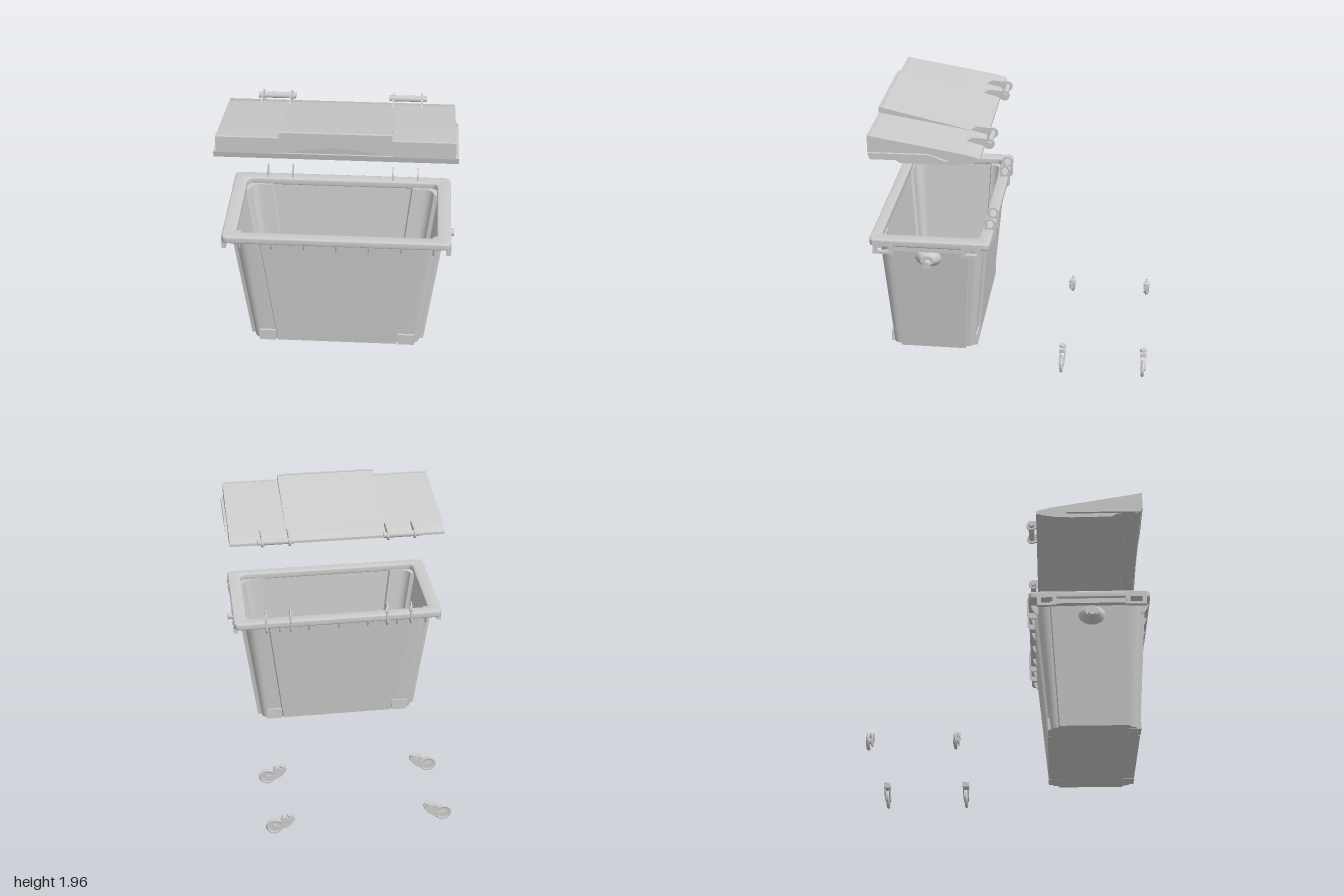
import * as THREE from 'three';
import { toCreasedNormals } from 'three/addons/utils/BufferGeometryUtils.js';

const material = new THREE.MeshStandardMaterial({ color: 0xcccccc, side: THREE.DoubleSide });

function add(parent, name, geometry, crease = 0.6) {
  const mesh = new THREE.Mesh(toCreasedNormals(geometry, crease), material);
  mesh.name = name;
  parent.add(mesh);
  return mesh;
}
const toShape = (pts) => new THREE.Shape(pts.map(([a, b]) => new THREE.Vector2(a, b)));

// Extrudes a (z, y) profile along x, centred on xc
function alongX(profile, width, xc) {
  const shape = Array.isArray(profile) ? toShape(profile) : profile;
  const g = new THREE.ExtrudeGeometry(shape, { depth: width, bevelEnabled: false, curveSegments: 16 });
  return g.rotateY(-Math.PI / 2).translate(xc + width / 2, 0, 0);
}
function box(x0, x1, y0, y1, z0, z1) {
  return new THREE.BoxGeometry(Math.abs(x1 - x0), y1 - y0, z1 - z0)
    .translate((x0 + x1) / 2, (y0 + y1) / 2, (z0 + z1) / 2);
}
function roundRect(path, hx, a, b, r) {
  path.moveTo(-hx + r, a);
  path.lineTo(hx - r, a); path.quadraticCurveTo(hx, a, hx, a + r);
  path.lineTo(hx, b - r); path.quadraticCurveTo(hx, b, hx - r, b);
  path.lineTo(-hx + r, b); path.quadraticCurveTo(-hx, b, -hx, b - r);
  path.lineTo(-hx, a + r); path.quadraticCurveTo(-hx, a, -hx + r, a);
  return path;
}
// Horizontal rectangular frame with rounded corners
function frame(hx, z0, z1, r, ix, iz0, iz1, ir, y, height, bevel) {
  const shape = roundRect(new THREE.Shape(), hx - bevel, -z1 + bevel, -z0 - bevel, r);
  shape.holes.push(roundRect(new THREE.Path(), ix + bevel, -iz1 - bevel, -iz0 + bevel, ir));
  return new THREE.ExtrudeGeometry(shape, {
    depth: height - 2 * bevel, bevelEnabled: bevel > 0, bevelSize: bevel, bevelThickness: bevel, bevelSegments: 3,
  }).rotateX(-Math.PI / 2).translate(0, y + bevel, 0);
}

// Tub outline at height y: flat panels with stepped-in rounded corners
function tubRing(y, inset) {
  const t = (y - 0.165) / 0.905, mix = (a, b) => a + (b - a) * t;
  const hx = mix(0.63, 0.745) - inset, hz = mix(0.323, 0.397) - inset, cz = mix(0.58, 0.567);
  const ax = mix(0.43, 0.53) - inset * 0.5, az = mix(0.24, 0.28) - inset * 0.5;
  const r = mix(0.05, 0.085) - inset * 0.4, sx = 0.03, sz = 0.02;
  const quad = [[ax, hz], [ax + 0.008, hz - sz]];
  for (let i = 0; i <= 6; i++) {
    const a = (i / 6) * Math.PI / 2;
    quad.push([hx - sx - r + r * Math.sin(a), hz - sz - r + r * Math.cos(a)]);
  }
  quad.push([hx - sx, az + 0.008], [hx, az]);
  const back = [...quad].reverse();
  const ring = [
    ...quad, ...back.map(([x, z]) => [x, -z]),
    ...quad.map(([x, z]) => [-x, -z]), ...back.map(([x, z]) => [-x, z]),
  ];
  return ring.map(([x, z]) => [x, y, z + cz]);
}
function loft(rings) {
  const n = rings[0].length, index = [];
  for (let i = 0; i < rings.length - 1; i++) {
    for (let j = 0; j < n; j++) {
      const a = i * n + j, b = i * n + (j + 1) % n;
      index.push(a, b, b + n, a, b + n, a + n);
    }
  }
  const g = new THREE.BufferGeometry();
  g.setAttribute('position', new THREE.Float32BufferAttribute(rings.flat(2), 3));
  g.setIndex(index);
  return g;
}
function cap(ring, up) {
  const g = new THREE.ShapeGeometry(toShape(ring.map(([x, , z]) => up ? [x, -z] : [x, z])));
  return g.rotateX(up ? -Math.PI / 2 : Math.PI / 2).translate(0, ring[0][1], 0);
}

function buildTub() {
  const tub = new THREE.Group();
  tub.name = 'tub';
  const outer = tubRing(0.165, 0), inner = tubRing(0.2, 0.04);
  add(tub, 'tubWalls', loft([outer, tubRing(1.08, 0), tubRing(1.08, 0.04), inner]));
  add(tub, 'tubUnderside', cap(outer, false));
  add(tub, 'tubFloor', cap(inner, true));
  add(tub, 'rim', frame(0.797, 0.13, 0.992, 0.035, 0.7, 0.215, 0.915, 0.06, 1.072, 0.053, 0.01));

  // Gussets under the front and back rim
  for (let i = -3; i <= 3; i++) {
    const x = i * 0.226;
    add(tub, 'frontGusset', alongX([[0.93, 1.075], [0.985, 1.075], [0.975, 1.04], [0.95, 1.0], [0.93, 1.0]], 0.01, x));
    add(tub, 'backGusset', alongX([[0.2, 1.075], [0.2, 1.0], [0.185, 1.0], [0.155, 1.04], [0.145, 1.075]], 0.01, x));
  }
  for (const s of [-1, 1]) {
    add(tub, 'sideSkirt', box(s * 0.72, s * 0.782, 1.035, 1.075, 0.33, 0.82));
    // Lifting pockets at the ends of the side rims
    for (const [z0, z1] of [[0.82, 0.965], [0.19, 0.33]]) {
      const shape = toShape([[z0, 1.015], [z1, 1.015], [z1, 1.115], [z0, 1.115]]);
      shape.holes.push(toShape([[z0 + 0.03, 1.035], [z0 + 0.03, 1.075], [z1 - 0.03, 1.075], [z1 - 0.03, 1.035]]));
      add(tub, 'liftingPocket', alongX(shape, 0.03, s * 0.785));
    }
    // Trunnion: half cone cut flat at the top, with a round pin
    const cone = new THREE.CylinderGeometry(0.05, 0.12, 0.09, 32, 4).rotateZ(-s * Math.PI / 2)
      .scale(1, 0.75, 1).translate(s * 0.745, 0.97, 0.578);
    const p = cone.attributes.position;
    for (let i = 0; i < p.count; i++) p.setY(i, Math.min(p.getY(i), 1.02));
    add(tub, 'trunnionMount', cone);
    add(tub, 'trunnionPin', new THREE.CylinderGeometry(0.027, 0.03, 0.06, 24)
      .rotateZ(-s * Math.PI / 2).translate(s * 0.795, 0.95, 0.578));
    // Castor sockets
    for (const [z0, z1] of [[0.82, 0.905], [0.257, 0.34]]) {
      add(tub, 'castorSocket', box(s * 0.445, s * 0.565, 0.163, 0.25, z0, z1));
    }
    // Hinge lugs
    for (const x of [0.37, 0.555]) {
      const lug = new THREE.Shape();
      lug.moveTo(0.195, 1.03);
      lug.lineTo(0.195, 1.17);
      lug.absarc(0.155, 1.17, 0.04, 0, Math.PI);
      lug.lineTo(0.115, 1.06);
      lug.lineTo(0.14, 1.03);
      lug.holes.push(new THREE.Path().absellipse(0.155, 1.167, 0.024, 0.03, 0, Math.PI * 2));
      add(tub, 'hingeLug', alongX(lug, 0.01, s * x));
    }
  }
  return tub;
}

function buildLid() {
  const lid = new THREE.Group();
  lid.name = 'lid';
  add(lid, 'lidTop', alongX([[0.96, 1.92], [0.29, 1.808], [0.2, 1.785], [0.19, 1.775], [0.19, 1.755],
    [0.23, 1.755], [0.29, 1.783], [0.96, 1.895]], 1.6, 0));
  add(lid, 'raisedCentre', alongX([[0.964, 1.963], [0.29, 1.809], [0.964, 1.9]], 0.75, 0));

  // Front panel with an arched lower edge for the hand grip
  const front = new THREE.Shape();
  front.moveTo(-0.8, 1.8);
  front.lineTo(-0.5, 1.8);
  front.bezierCurveTo(-0.27, 1.805, -0.18, 1.855, 0, 1.855);
  front.bezierCurveTo(0.18, 1.855, 0.27, 1.805, 0.5, 1.8);
  for (const [x, y] of [[0.8, 1.8], [0.8, 1.92], [0.375, 1.92], [0.375, 1.963], [-0.375, 1.963], [-0.375, 1.92], [-0.8, 1.92]]) {
    front.lineTo(x, y);
  }
  add(lid, 'frontPanel', new THREE.ExtrudeGeometry(front, { depth: 0.02, bevelEnabled: false, curveSegments: 20 })
    .translate(0, 0, 0.945));
  add(lid, 'gripRecess', alongX([[0.956, 1.87], [0.942, 1.757], [0.92, 1.757], [0.92, 1.87]], 1.58, 0));
  add(lid, 'frontFlange', alongX([[0.96, 1.8], [0.95, 1.755], [0.925, 1.755], [0.925, 1.8]], 1.64, 0));
  add(lid, 'undersideFrame', frame(0.785, 0.2, 0.94, 0.01, 0.68, 0.29, 0.85, 0.04, 1.757, 0.015, 0));

  for (const s of [-1, 1]) {
    add(lid, 'lidEnd', alongX([[0.96, 1.92], [0.29, 1.808], [0.2, 1.785], [0.19, 1.765], [0.24, 1.745], [0.33, 1.73],
      [0.45, 1.725], [0.74, 1.727], [0.78, 1.752], [0.95, 1.755], [0.95, 1.8], [0.96, 1.8]], 0.02, s * 0.79));
    add(lid, 'sideFlange', alongX([[0.95, 1.755], [0.95, 1.8], [0.55, 1.803], [0.51, 1.795], [0.45, 1.77],
      [0.41, 1.757]], 0.022, s * 0.809));
    // Hinge rod carried by two arms
    add(lid, 'hingeRod', new THREE.CylinderGeometry(0.022, 0.022, 0.265, 20)
      .rotateZ(Math.PI / 2).translate(s * 0.467, 1.797, 0.153));
    for (const x of [0.365, 0.565]) {
      add(lid, 'hingeArm', alongX([[0.15, 1.832], [0.265, 1.84], [0.31, 1.812], [0.24, 1.77], [0.15, 1.768]], 0.012, s * x));
      add(lid, 'hingeEye', new THREE.CylinderGeometry(0.038, 0.038, 0.014, 24)
        .rotateZ(Math.PI / 2).translate(s * x, 1.797, 0.153));
    }
  }
  return lid;
}

// Swivel castor trailing towards s * x
function buildCastor(s, z) {
  const castor = new THREE.Group();
  castor.name = 'castor';
  castor.position.z = z;
  const rim = [[0.042, -0.008], [0.052, -0.012], [0.06, -0.01], [0.065, 0], [0.06, 0.01], [0.052, 0.012], [0.042, 0.008], [0.042, -0.008]];
  const place = (g) => g.rotateX(Math.PI / 2).translate(s * 0.62, 0.07, 0);
  add(castor, 'tyre', place(new THREE.LatheGeometry(rim.map(([r, y]) => new THREE.Vector2(r, y)), 32)));
  add(castor, 'wheelDisc', place(new THREE.CylinderGeometry(0.043, 0.043, 0.01, 32)));
  add(castor, 'hub', place(new THREE.CylinderGeometry(0.018, 0.018, 0.034, 20)));
  const arm = [[0.476, 0.15], [0.476, 0.125], [0.51, 0.08], [0.54, 0.058], [0.62, 0.056], [0.62, 0.082], [0.585, 0.09], [0.565, 0.15]];
  const cheek = toShape(arm.map(([x, y]) => [s * x, y]));
  for (const side of [-1, 1]) {
    add(castor, 'forkCheek', new THREE.ExtrudeGeometry(cheek, { depth: 0.006, bevelEnabled: false })
      .translate(0, 0, side * 0.017 - 0.003));
  }
  add(castor, 'forkCrown', box(s * 0.476, s * 0.56, 0.125, 0.152, -0.023, 0.023));
  add(castor, 'swivelPlate', new THREE.CylinderGeometry(0.024, 0.024, 0.018, 24).translate(s * 0.505, 0.156, 0));
  return castor;
}

export function createModel() {
  const model = new THREE.Group();
  model.name = 'wheeledWasteContainer';
  model.add(buildTub(), buildLid());
  for (const s of [-1, 1]) for (const z of [-0.376, -0.977]) model.add(buildCastor(s, z));
  return model;
}
